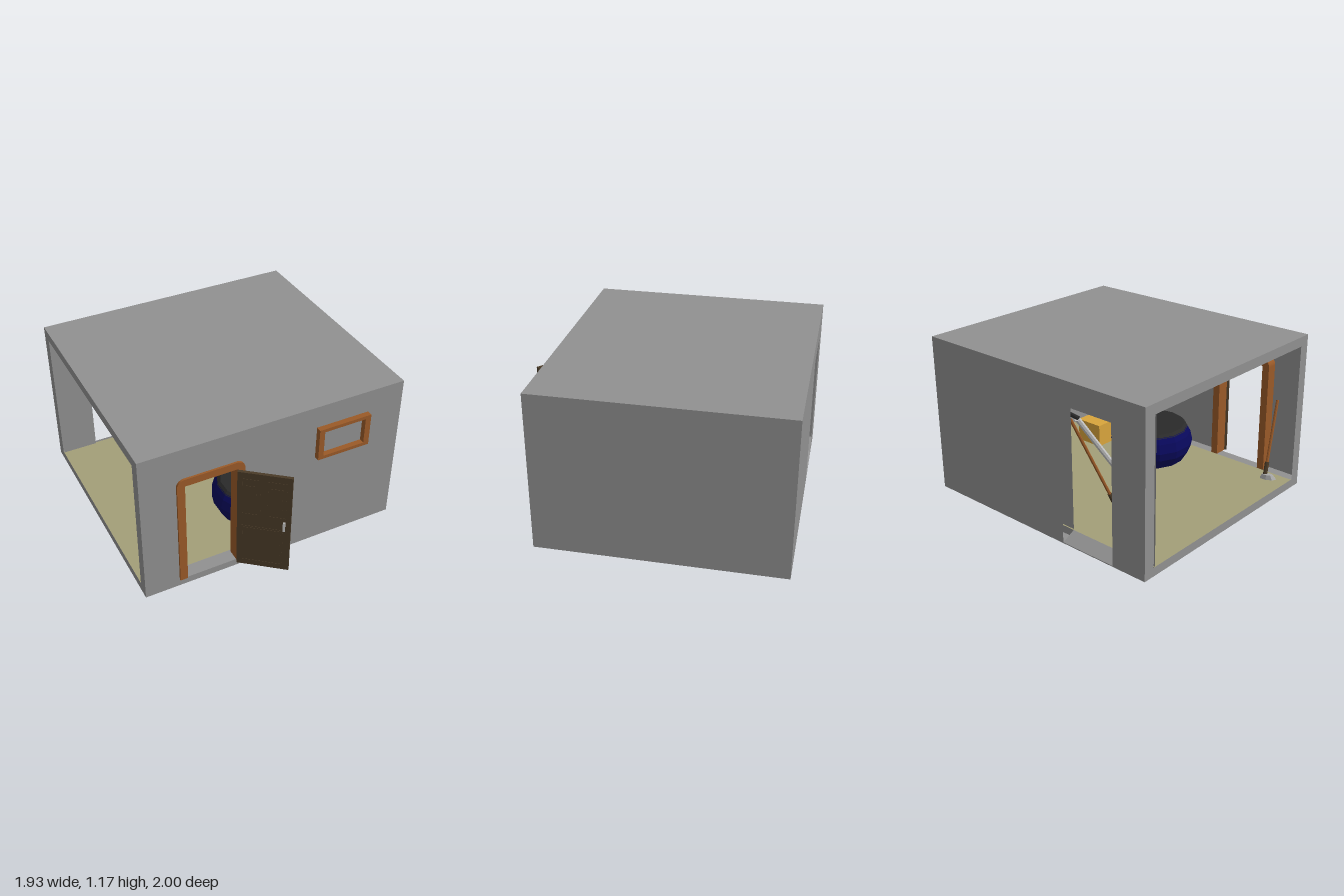
import * as THREE from 'three';

const GREY = 0x919191, STEEL = 0xcccccc, BLACK = 0x2a2a2a;
const WOOD = 0x9a5a28, DARK_WOOD = 0x4a3b28, KHAKI = 0xa39f78;
const mat = (color, side = THREE.FrontSide) =>
  new THREE.MeshStandardMaterial({ color, side, flatShading: true });

function add(parent, name, geo, color, pos = [0, 0, 0], rot = [0, 0, 0], side) {
  const m = new THREE.Mesh(geo, mat(color, side));
  m.name = name;
  m.position.set(...pos);
  m.rotation.set(...rot);
  parent.add(m);
  return m;
}
const box = (p, name, x0, x1, y0, y1, z0, z1, color) =>
  add(p, name, new THREE.BoxGeometry(x1 - x0, y1 - y0, z1 - z0), color,
    [(x0 + x1) / 2, (y0 + y1) / 2, (z0 + z1) / 2]);

function trace(target, x0, x1, y0, y1) {
  target.moveTo(x0, y0);
  target.lineTo(x1, y0);
  target.lineTo(x1, y1);
  target.lineTo(x0, y1);
  target.closePath();
  return target;
}
// Rectangle with a rectangular hole
function rect(outer, hole) {
  const s = trace(new THREE.Shape(), ...outer);
  s.holes.push(trace(new THREE.Path(), ...hole));
  return s;
}
const extrude = (shape, depth) =>
  new THREE.ExtrudeGeometry(shape, { depth, bevelEnabled: false, curveSegments: 5 });

// Round rod between two points
function rod(p, name, a, b, r, color) {
  const A = new THREE.Vector3(...a), B = new THREE.Vector3(...b);
  const dir = B.clone().sub(A);
  const m = add(p, name, new THREE.CylinderGeometry(r, r, dir.length(), 8), color);
  m.position.copy(A).add(B).multiplyScalar(0.5);
  m.quaternion.setFromUnitVectors(new THREE.Vector3(0, 1, 0), dir.normalize());
}

// Long-handled tool standing on its head
function tool(p, name, foot, top) {
  const g = new THREE.Group();
  g.name = name;
  p.add(g);
  const at = t => foot.map((v, i) => v + (top[i] - v) * t);
  rod(g, 'handle', at(0.18), top, 0.011, WOOD);
  rod(g, 'collar', foot, at(0.19), 0.016, DARK_WOOD);
  const head = new THREE.CylinderGeometry(0.045, 0.07, 0.032, 8).scale(1, 1, 0.45);
  add(g, 'head', head, 0xb0b0b0, [foot[0] - 0.025, foot[1] + 0.008, foot[2]], [0, 0, -0.15]);
}

const X = 0.965, Y0 = 0.012, Y1 = 1.17, ZB = -1, ZF = 0.74;

function buildShell(p) {
  const g = new THREE.Group();
  g.name = 'roomShell';
  p.add(g);
  const H = Y1 - Y0, D = ZF - ZB, ym = (Y0 + Y1) / 2, zm = (ZF + ZB) / 2;
  const sheet = (name, geo, pos, rot, color = GREY) =>
    add(g, name, geo, color, pos, rot, THREE.DoubleSide);
  const plane = (name, w, h, pos, rot, color) =>
    sheet(name, new THREE.PlaneGeometry(w, h), pos, rot, color);
  const holed = (name, outer, hole, pos, rot) =>
    sheet(name, new THREE.ShapeGeometry(rect(outer, hole)), pos, rot);

  // Walls; the back one is double, and the right side is open
  const back = [0.265, 0.7, 0.018, 1.0];
  holed('frontWall', [-X, X, Y0, Y1], [-0.69, -0.26, 0.065, 0.91], [0, 0, ZF]);
  holed('backWall', [-X, X, Y0, Y1], back, [0, 0, ZB], [0, Math.PI, 0]);
  holed('backWallLining', [-X + 0.002, X - 0.002, Y0, 1.1], back, [0, 0, ZB + 0.1], [0, Math.PI, 0]);
  holed('openSideBorder', [ZB, ZF, Y0, Y1], [ZB + 0.085, ZF - 0.08, 0.075, 1.1],
    [-X, 0, 0], [0, -Math.PI / 2, 0]);
  plane('leftWall', D, H, [X, ym, zm], [0, Math.PI / 2, 0]);
  plane('roof', 2 * X, D, [0, Y1, zm], [-Math.PI / 2, 0, 0]);

  // Underside sags very slightly towards its middle
  const under = new THREE.PlaneGeometry(2 * X, D, 2, 2);
  under.attributes.position.setZ(4, Y0);
  sheet('underside', under, [0, Y0, zm], [Math.PI / 2, 0, 0]);

  // Inner floor and ceiling
  plane('floor', 2 * X, D - 0.18, [0, 0.075, zm], [-Math.PI / 2, 0, 0], KHAKI);
  plane('ceiling', 2 * X, D - 0.01, [0, 1.1, zm], [Math.PI / 2, 0, 0], KHAKI);

  // Sloping sill of the back doorway and flat sill of the front one
  plane('backSill', 0.435, Math.hypot(0.1, 0.05), [-0.4825, 0.043, ZB + 0.05],
    [-Math.PI / 2 - Math.atan2(0.05, 0.1), 0, 0]);
  plane('frontSill', 2 * X - 0.01, 0.09, [0, 0.065, ZF - 0.045], [-Math.PI / 2, 0, 0]);
}

function buildFrames(p) {
  // Door frame: open at the bottom, rounded at the top corners
  const x0 = -0.715, x1 = -0.235, y0 = 0.07, y1 = 0.94, w = 0.055;
  const s = new THREE.Shape();
  s.moveTo(x0, y0);
  s.lineTo(x0 + w, y0);
  s.lineTo(x0 + w, y1 - w);
  s.lineTo(x1 - w, y1 - w);
  s.lineTo(x1 - w, y0);
  s.lineTo(x1, y0);
  s.lineTo(x1, y1 - w);
  s.absarc(x1 - w, y1 - w, w, 0, Math.PI / 2, false);
  s.lineTo(x0 + w, y1);
  s.absarc(x0 + w, y1 - w, w, Math.PI / 2, Math.PI, false);
  s.closePath();
  add(p, 'doorFrame', extrude(s, 0.095), WOOD, [0, 0, 0.66]);

  add(p, 'windowFrame', extrude(rect([0.3, 0.697, 0.758, 1.005], [0.34, 0.655, 0.783, 0.98]), 0.04),
    WOOD, [0, 0, ZF]);
}

function buildDoor(p) {
  // Leaf hinged at its local origin and swung outwards
  const g = new THREE.Group();
  g.name = 'door';
  g.position.set(-0.295, 0, 0.763);
  g.rotation.y = -0.677;
  p.add(g);
  const T = 0.011;
  box(g, 'leaf', 0, 0.36, 0.07, 0.882, -T, T, DARK_WOOD);
  // Raised panels on the outer face
  const panels = [[0.025, 0.155, 0.53, 0.832], [0.195, 0.325, 0.53, 0.832], [0.03, 0.31, 0.11, 0.43]];
  panels.forEach(([a, b, c, d], i) => {
    const m = 0.008, ix = i < 2 ? 0.026 : 0.016, iy = i < 2 ? 0.055 : 0.016;
    add(g, 'panelMoulding', extrude(rect([a, b, c, d], [a + m, b - m, c + m, d - m]), 0.002),
      DARK_WOOD, [0, 0, T]);
    box(g, 'panel', a + ix, b - ix, c + iy, d - iy, T, T + 0.002, DARK_WOOD);
  });
  // Pull handle on a pair of short posts
  box(g, 'handle', 0.309, 0.325, 0.435, 0.512, T + 0.008, T + 0.018, STEEL);
  for (const y of [0.445, 0.492]) box(g, 'handlePost', 0.312, 0.322, y, y + 0.01, T, T + 0.009, STEEL);
}

function buildContents(p) {
  // Wide bulging barrel with a dark lid
  const profile = [[0, 0], [0.25, 0], [0.3, 0.08], [0.312, 0.14], [0.295, 0.21], [0.27, 0.255]]
    .map(([r, y]) => new THREE.Vector2(r, y));
  add(p, 'barrel', new THREE.LatheGeometry(profile, 14), 0x09095c, [0.08, 0.076, 0.31], [0, 0, 0],
    THREE.DoubleSide);
  add(p, 'barrelLid', new THREE.CylinderGeometry(0.25, 0.275, 0.025, 14), BLACK, [0.08, 0.337, 0.31]);

  box(p, 'crate', 0.48, 0.7, 0.076, 0.25, 0.15, 0.35, 0xd9a53c);

  tool(p, 'backTool', [-0.345, 0.1, -0.55], [-0.222, 0.84, -0.86]);
  tool(p, 'frontTool', [-0.816, 0.1, 0.53], [-0.78, 0.64, 0.7]);

  // Metal pole with a dark grip, leaning on the back wall
  rod(p, 'pole', [-0.22, 0.09, -0.25], [-0.262, 0.85, -0.84], 0.02, STEEL);
  rod(p, 'poleGrip', [-0.275, 0.855, -0.84], [-0.19, 0.865, -0.84], 0.014, BLACK);
}

export function createModel() {
  const model = new THREE.Group();
  model.name = 'storeRoom';
  buildShell(model);
  buildFrames(model);
  buildDoor(model);
  buildContents(model);
  return model;
}
